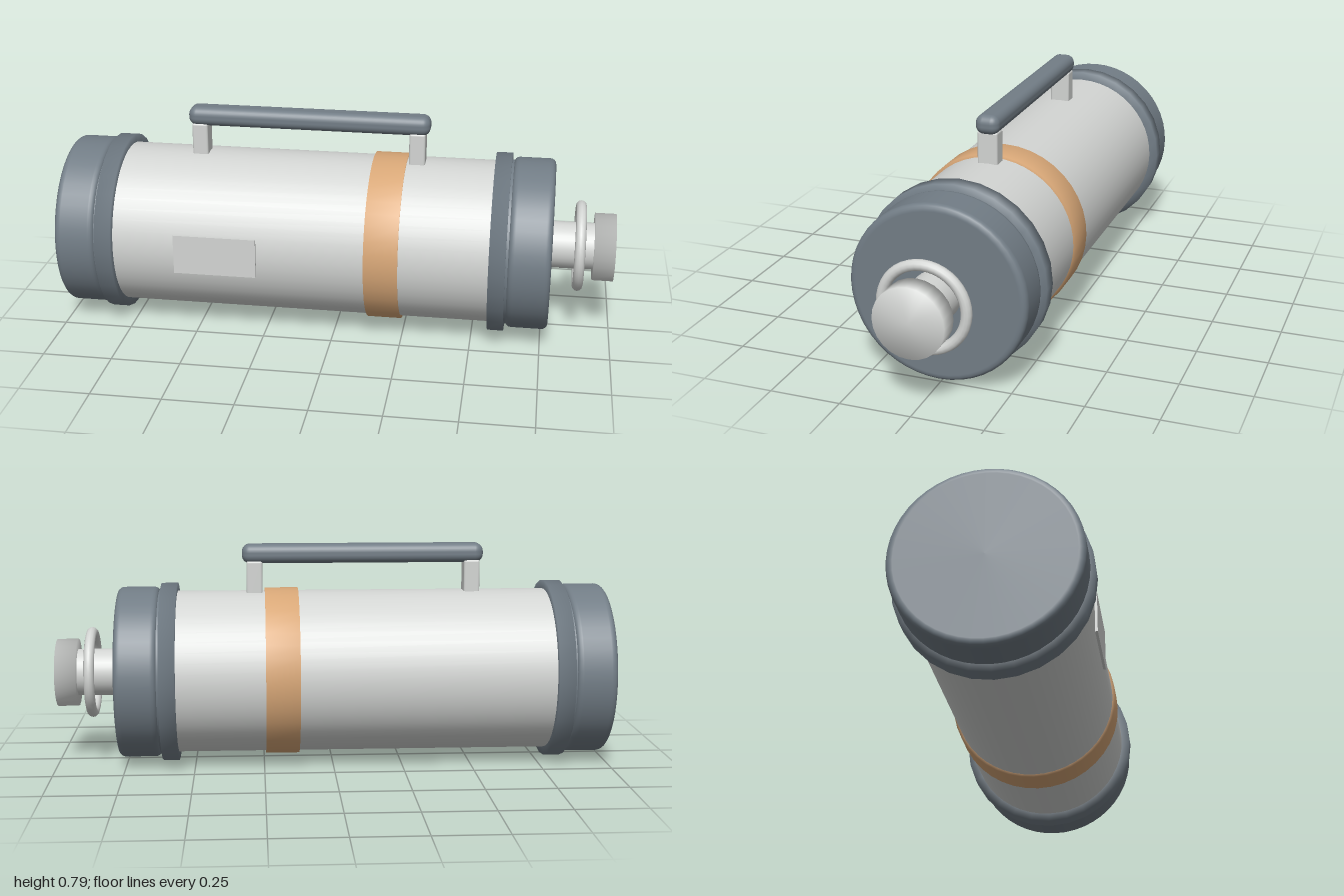
import * as THREE from 'three';
import { RoundedBoxGeometry } from 'three/addons/geometries/RoundedBoxGeometry.js';

const AXIS_Y = 0.327;

export function createModel() {
  const group = new THREE.Group();
  group.name = 'canister';
  const silver = new THREE.MeshStandardMaterial({ name: 'silver', color: 0xd3d5d3 });
  const slate = new THREE.MeshStandardMaterial({ name: 'slate grey', color: 0x727d86 });
  const tan = new THREE.MeshStandardMaterial({ name: 'tan', color: 0xd9a878 });

  const add = (name, geometry, material, x = 0, y = AXIS_Y, z = 0) => {
    const mesh = new THREE.Mesh(geometry, material);
    mesh.name = name;
    mesh.position.set(x, y, z);
    group.add(mesh);
    return mesh;
  };

  // Turned part along x, from [x, radius] pairs with x increasing
  const turned = (name, profile, material, sides = 48) => {
    const geometry = new THREE.LatheGeometry(profile.map(([x, r]) => new THREE.Vector2(r, x)), sides);
    geometry.rotateZ(-Math.PI / 2);
    return add(name, geometry, material);
  };

  // Closed drum with small rounded rims
  const drum = (x0, x1, r, b) => {
    const rim = [0, 0.25, 0.5, 0.75, 1].map((t) => t * Math.PI / 2);
    return [
      [x0, 0], [x0, r - b - 0.004],
      ...rim.map((a) => [x0 + b * (1 - Math.cos(a)), r - b + b * Math.sin(a)]),
      [x0 + b + 0.004, r], [x1 - b - 0.004, r],
      ...rim.map((a) => [x1 - b + b * Math.sin(a), r - b + b * Math.cos(a)]),
      [x1, r - b - 0.004], [x1, 0],
    ];
  };

  // Raised band with soft shading
  const band = (x0, x1, r) => [[x0, 0.28], [x0, r], [x1, r], [x1, 0.28]];

  // Main tube
  turned('body', [[-0.87, 0.295], [0.65, 0.295]], silver);

  // End caps and the collars next to them
  turned('rearCap', drum(-1, -0.853, 0.311, 0.02), slate);
  turned('frontCap', drum(0.624, 0.775, 0.311, 0.02), slate);
  turned('rearCapCore', [[-0.86, 0.3], [-0.84, 0.3]], slate);
  turned('frontCapCore', [[0.61, 0.3], [0.63, 0.3]], slate);
  turned('rearCollar', band(-0.845, -0.786, 0.326), slate, 28);
  turned('frontCollar', band(0.56, 0.618, 0.326), slate, 28);

  // Coloured stripe
  turned('stripe', band(0.122, 0.243, 0.305), tan, 40);

  // Valve: neck, loose ring and knob
  turned('valveNeck', [[0.77, 0.085], [0.93, 0.085]], silver, 32);
  const ring = new THREE.TorusGeometry(0.146, 0.019, 12, 40);
  ring.rotateY(Math.PI / 2);
  add('valveRing', ring, silver, 0.874);
  turned('valveKnob', [[0.925, 0], [0.925, 0.123], [1, 0.123], [1, 0]], silver, 24);

  // Carrying handle
  add('handleGrip', new RoundedBoxGeometry(0.88, 0.07, 0.086, 4, 0.03), slate, -0.115, 0.76);
  for (const [name, x] of [['rearHandlePost', -0.513], ['frontHandlePost', 0.28]]) {
    add(name, new RoundedBoxGeometry(0.058, 0.16, 0.074, 2, 0.008), silver, x, 0.655);
  }

  // Plain label plate on the front
  add('labelPlate', new THREE.BoxGeometry(0.298, 0.145, 0.009), silver, -0.411, 0.332, 0.2985);

  return group;
}
